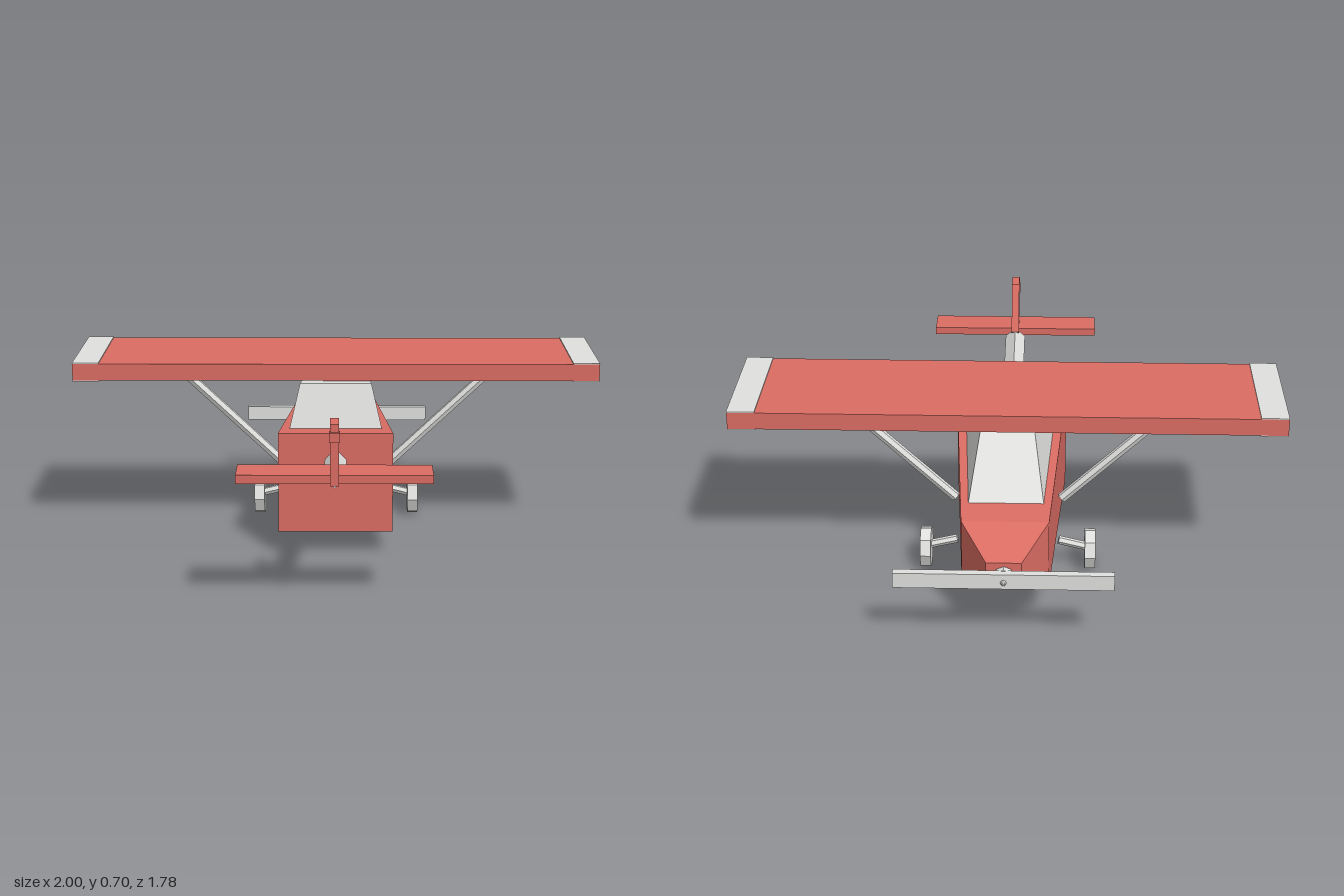
import * as THREE from 'three';

const red = new THREE.MeshStandardMaterial({ color: 0xdb6d64 });
red.name = 'red paint';
const grey = new THREE.MeshStandardMaterial({ color: 0xe0e0de });
grey.name = 'light grey';

// Flat-faced solid through rings of four corners, closed at both ends
function loft(rings) {
  const pos = [];
  const quad = (a, b, c, d) => pos.push(...a, ...b, ...c, ...a, ...c, ...d);
  quad(...rings[0]);
  for (let r = 0; r < rings.length - 1; r++) {
    const A = rings[r], B = rings[r + 1];
    for (let i = 0; i < 4; i++) {
      const j = (i + 1) % 4;
      quad(A[i], B[i], B[j], A[j]);
    }
  }
  quad(...[...rings[rings.length - 1]].reverse());
  const g = new THREE.BufferGeometry();
  g.setAttribute('position', new THREE.Float32BufferAttribute(pos, 3));
  g.computeVertexNormals();
  return g;
}

// Upright rectangle at depth z
const frame = (z, w, y0, y1) => [[-w, y0, z], [w, y0, z], [w, y1, z], [-w, y1, z]];

// Level ring with its own width and height at the tail end and nose end
const deck = (zT, wT, yT, zN, wN, yN) =>
  [[-wT, yT, zT], [wT, yT, zT], [wN, yN, zN], [-wN, yN, zN]];

// Faceted rod between two points
function rod(a, b, radius, sides, turn = 0) {
  const from = new THREE.Vector3(...a), to = new THREE.Vector3(...b);
  const dir = to.clone().sub(from);
  const g = new THREE.CylinderGeometry(radius, radius, dir.length(), sides).toNonIndexed();
  g.computeVertexNormals();
  g.rotateY(turn);
  g.applyQuaternion(new THREE.Quaternion().setFromUnitVectors(new THREE.Vector3(0, 1, 0), dir.normalize()));
  const mid = from.add(to).multiplyScalar(0.5);
  return g.translate(mid.x, mid.y, mid.z);
}

// Box given by its limits
function block(x0, x1, y0, y1, z0, z1) {
  return new THREE.BoxGeometry(x1 - x0, y1 - y0, z1 - z0)
    .translate((x0 + x1) / 2, (y0 + y1) / 2, (z0 + z1) / 2);
}

export function createModel() {
  const model = new THREE.Group();
  model.name = 'highWingPlane';
  const add = (name, geometry, material) => {
    const mesh = new THREE.Mesh(geometry, material);
    mesh.name = name;
    model.add(mesh);
  };

  // Body: tapered box with a short nose towards -z
  add('fuselage', loft([
    frame(0.21, 0.215, 0.09, 0.475),
    frame(-0.66, 0.155, 0.12, 0.395),
    frame(-0.815, 0.062, 0.22, 0.32),
  ]), red);
  add('canopy', loft([
    deck(0.06, 0.135, 0.629, -0.35, 0.097, 0.604),
    deck(0.105, 0.175, 0.463, -0.55, 0.135, 0.402),
  ]), grey);

  // Wing with pale panels over and under the tips
  add('wing', block(-1, 1, 0.632, 0.696, -0.435, 0.03), red);
  for (const [side, s] of [['left', 1], ['right', -1]]) {
    const [x0, x1] = s > 0 ? [0.9, 1] : [-1, -0.9];
    add(side + 'TipTop', block(x0, x1, 0.696, 0.7, -0.435, 0.03), grey);
    add(side + 'TipUnderside', block(x0, x1, 0.628, 0.632, -0.435, 0.03), grey);

    // Strut and landing gear
    add(side + 'Strut', rod([s * 0.2, 0.235, -0.198], [s * 0.62, 0.635, -0.198], 0.019, 6), grey);
    add(side + 'Axle', rod([s * 0.19, 0.112, -0.3], [s * 0.3, 0.085, -0.3], 0.016, 6), grey);
    add(side + 'Wheel', rod([s * 0.288, 0.077, -0.3], [s * 0.328, 0.077, -0.3], 0.077, 8), grey);
  }

  // Tail boom: square rod standing on its edge
  add('tailBoom', rod([0, 0.372, 0.2], [0, 0.487, 0.8], 0.04, 4), grey);
  add('tailplane', block(-0.333, 0.333, 0.485, 0.515, 0.75, 0.875), red);

  // Fin outline in depth and height
  const outline = new THREE.Shape([[0.88, 0.478], [0.88, 0.693], [0.8, 0.693], [0.72, 0.512], [0.76, 0.478]]
    .map(([z, y]) => new THREE.Vector2(z, y)));
  add('fin', new THREE.ExtrudeGeometry(outline, { depth: 0.03, bevelEnabled: false })
    .rotateY(-Math.PI / 2).translate(0.015, 0, 0), red);
  add('finLight', block(-0.018, 0.018, 0.632, 0.665, 0.86, 0.888), red);

  // Propeller
  add('propellerHub', rod([0, 0.27, -0.81], [0, 0.27, -0.84], 0.036, 8), grey);
  add('propeller', block(-0.383, 0.383, 0.244, 0.302, -0.863, -0.835), grey);
  const tip = new THREE.ConeGeometry(0.014, 0.03, 8).toNonIndexed();
  tip.computeVertexNormals();
  add('spinner', tip.rotateX(-Math.PI / 2).translate(0, 0.27, -0.872), grey);

  return model;
}
